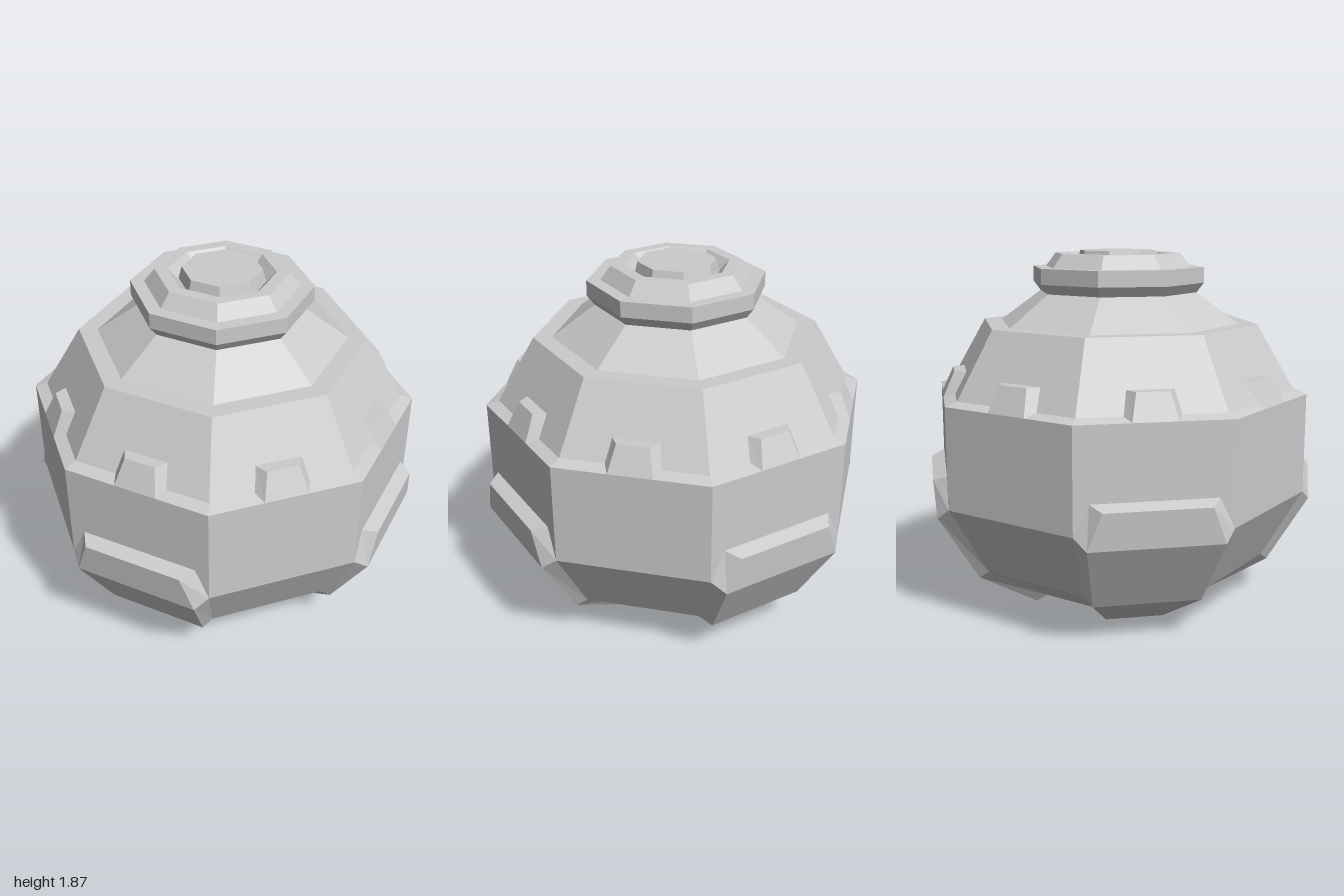
import * as THREE from 'three';

const material = new THREE.MeshStandardMaterial({ color: 0xcccccc, flatShading: true });

// Eight-sided solid from [apothem, y] pairs, with flat sides facing the axes
function octagon(name, profile) {
  const points = profile.map(([a, y]) => new THREE.Vector2(a / Math.cos(Math.PI / 8), y));
  const mesh = new THREE.Mesh(new THREE.LatheGeometry(points, 8, Math.PI / 8), material);
  mesh.name = name;
  return mesh;
}

// Raised plate facing +z: a front face with bevels back to its rim.
// Both lists give the right half as [x, y, z] from bottom to top.
function plateGeometry(rim, face) {
  const loop = (half) => [...half, ...half.map(([x, y, z]) => [-x, y, z]).reverse()];
  const outer = loop(rim), inner = loop(face), n = outer.length;
  const positions = [];
  const quad = (a, b, c, d) => positions.push(...a, ...b, ...c, ...a, ...c, ...d);
  for (let i = 0; i < n; i++) {
    const j = (i + 1) % n;
    quad(outer[i], outer[j], inner[j], inner[i]);
  }
  for (let i = 0; i < face.length - 1; i++) {
    quad(inner[n - 1 - i], inner[i], inner[i + 1], inner[n - 2 - i]);
  }
  const geometry = new THREE.BufferGeometry();
  geometry.setAttribute('position', new THREE.Float32BufferAttribute(positions, 3));
  geometry.computeVertexNormals();
  return geometry;
}

// Copies of a part spaced evenly around the vertical axis
function ring(name, geometry, count) {
  const group = new THREE.Group();
  group.name = name + 's';
  for (let i = 0; i < count; i++) {
    const mesh = new THREE.Mesh(geometry, material);
    mesh.name = name;
    mesh.rotation.y = (i / count) * Math.PI * 2;
    group.add(mesh);
  }
  return group;
}

export function createModel() {
  const model = new THREE.Group();
  model.name = 'octagonalVessel';

  // Faceted body, stepped shoulder and neck
  model.add(octagon('body', [
    [0, 0.04], [0.42, 0.04], [0.735, 0.24], [0.93, 0.605], [0.93, 1.13],
    [0.87, 1.15], [0.685, 1.49], [0.595, 1.49], [0.39, 1.65], [0, 1.65],
  ]));

  // Lid with a bevelled collar and a groove around the central button
  model.add(octagon('lid', [
    [0, 1.65], [0.39, 1.65], [0.425, 1.7], [0.425, 1.78], [0.36, 1.78],
    [0.31, 1.85], [0.25, 1.85], [0.205, 1.8], [0.2, 1.8], [0.185, 1.865], [0, 1.865],
  ]));

  // Four foot plates wrapping the lower body
  model.add(ring('footPlate', plateGeometry(
    [[0.174, 0.04, 0.42], [0.304, 0.24, 0.735], [0.385, 0.605, 0.93], [0.31, 0.76, 0.93]],
    [[0.15, 0, 0.47], [0.27, 0.2, 0.78], [0.33, 0.55, 0.985], [0.26, 0.735, 1]],
  ), 4));

  // Eight small tabs standing on the shoulder ledge
  model.add(ring('shoulderTab', plateGeometry(
    [[0.145, 1.13, 0.875], [0.115, 1.26, 0.81]],
    [[0.11, 1.13, 0.93], [0.08, 1.26, 0.87]],
  ), 8));

  return model;
}
